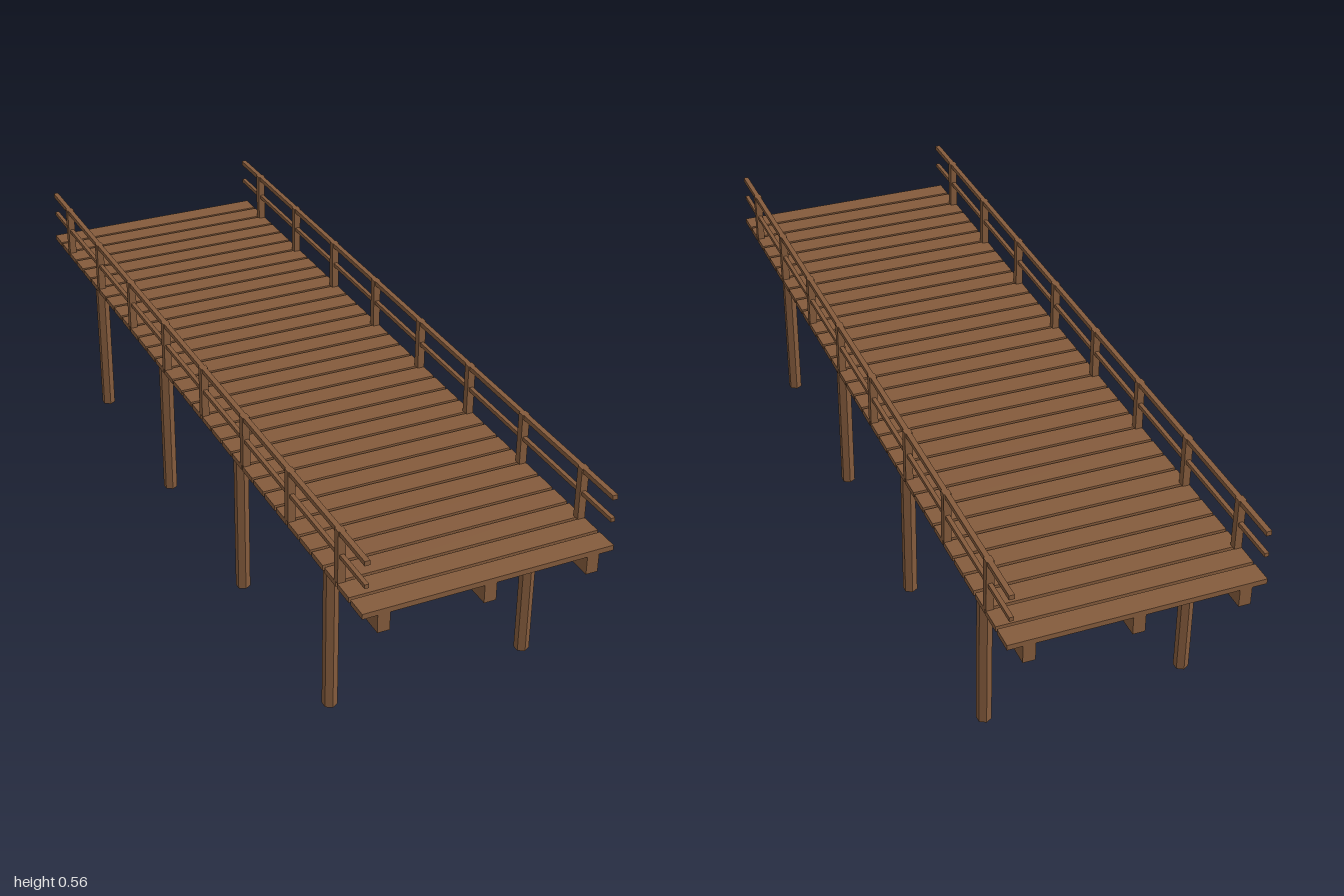
import * as THREE from 'three';

export function createModel() {
  const bridge = new THREE.Group();
  bridge.name = 'footbridge';
  const wood = new THREE.MeshStandardMaterial({ color: 0x845b3c, flatShading: true });
  wood.name = 'brownWood';

  const add = (name, geometry, x, y, z) => {
    const mesh = new THREE.Mesh(geometry, wood);
    mesh.name = name;
    mesh.position.set(x, y, z);
    bridge.add(mesh);
  };

  // Deck planks with narrow gaps
  const count = 32, width = 0.055;
  const pitch = (2 - width) / (count - 1);
  const plank = new THREE.BoxGeometry(0.6, 0.013, width);
  for (let i = 0; i < count; i++) {
    add('plank', plank, 0, 0.4265, -1 + width / 2 + i * pitch);
  }

  // Three long beams under the deck
  const beam = new THREE.BoxGeometry(0.029, 0.045, 2);
  for (const x of [-0.25, 0, 0.25]) add('beam', beam, x, 0.3975, 0);

  const pile = new THREE.CylinderGeometry(0.018, 0.018, 0.375, 6);
  const post = new THREE.BoxGeometry(0.018, 0.1295, 0.018);
  const topRail = new THREE.BoxGeometry(0.0125, 0.0115, 2);
  const midRail = new THREE.BoxGeometry(0.01, 0.01, 2);
  for (const side of [-1, 1]) {
    // Six-sided piles
    for (const z of [-0.75, -0.25, 0.25, 0.75]) add('pile', pile, side * 0.25, 0.1875, z);
    // Railing
    for (let i = 0; i < 8; i++) add('railPost', post, side * 0.291, 0.49775, -0.875 + i * 0.25);
    add('topRail', topRail, side * 0.291, 0.55675, 0);
    add('midRail', midRail, side * 0.291, 0.5, 0);
  }
  return bridge;
}
